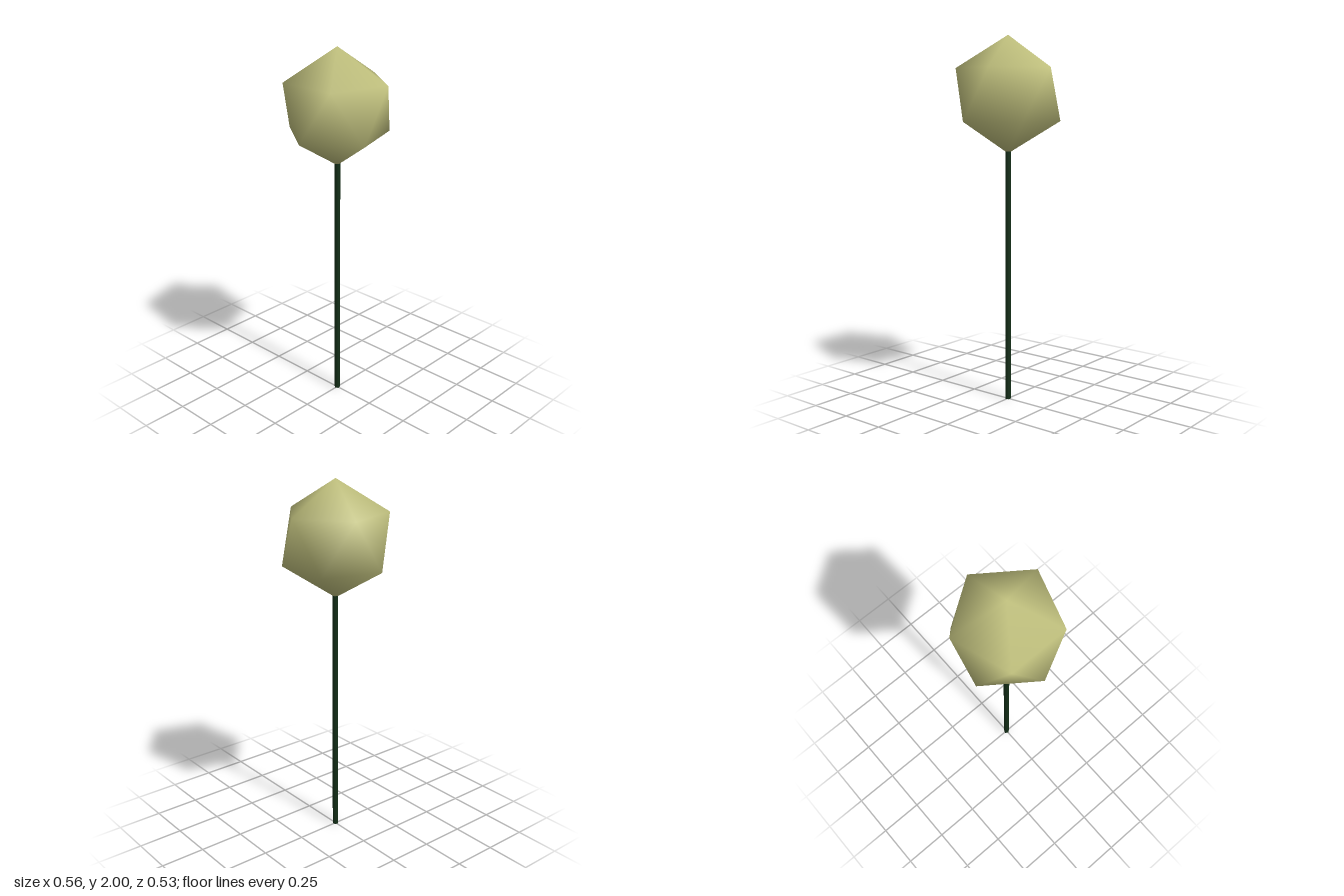
import * as THREE from 'three';

export function createModel() {
  const group = new THREE.Group();
  const add = (name, geometry, color) => {
    const mesh = new THREE.Mesh(geometry, new THREE.MeshStandardMaterial({ color }));
    mesh.name = name;
    group.add(mesh);
    return mesh;
  };

  // Flower head: icosahedron standing on a corner, shaded smooth like a ball
  const radius = 0.313;
  const golden = (1 + Math.sqrt(5)) / 2;
  const ball = new THREE.IcosahedronGeometry(1, 0);
  ball.rotateZ(-Math.atan(1 / golden));
  ball.setAttribute('normal', ball.getAttribute('position').clone());
  ball.scale(radius, radius, radius);
  add('flowerHead', ball, 0xc4c480).position.y = 2 - radius;

  // Stem: thin five-sided rod running up into the head
  const height = 1.6;
  const rod = new THREE.CylinderGeometry(0.0165, 0.0165, height, 5, 1, false, -Math.PI / 2);
  add('stem', rod, 0x143018).position.y = height / 2;

  return group;
}
